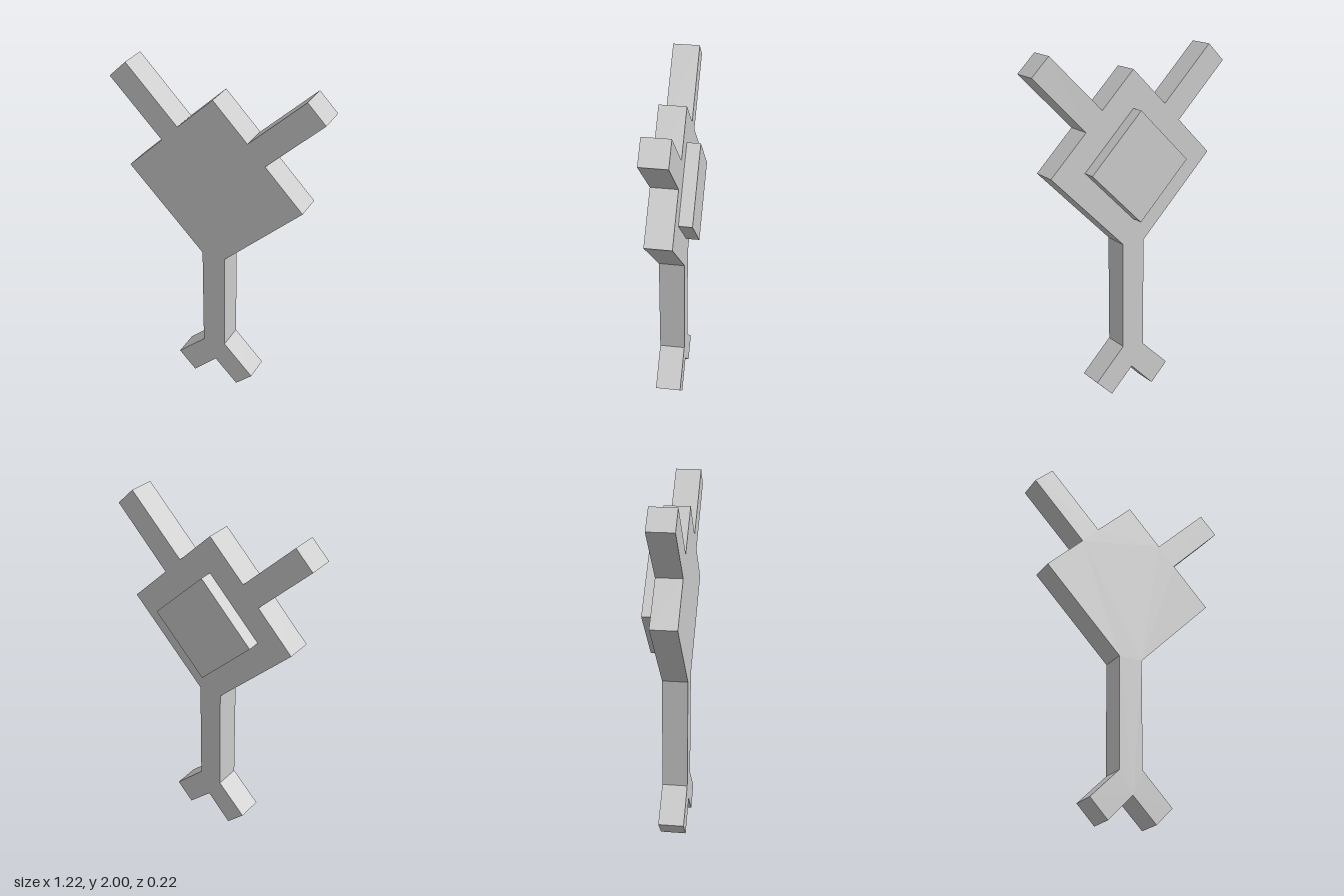
import * as THREE from 'three';

const material = new THREE.MeshStandardMaterial({ color: 0xcccccc, flatShading: true });

// Flat slab cut from an outline, between two depths
function slab(name, points, back, front) {
  const shape = new THREE.Shape(points.map(([x, y]) => new THREE.Vector2(x, y)));
  const geometry = new THREE.ExtrudeGeometry(shape, { depth: front - back, bevelEnabled: false });
  geometry.translate(0, 0, back);
  const mesh = new THREE.Mesh(geometry, material);
  mesh.name = name;
  return mesh;
}

export function createModel() {
  const group = new THREE.Group();
  group.name = 'figure';

  // Outline, counter-clockwise from the notch between the feet
  const leftFoot = [[0.01, 0.15], [0.15, 0.012], [0.25, 0.113], [0.07, 0.293]];
  const leftTorso = [[0.07, 0.92], [0.518, 1.367], [0.3, 1.585]];
  const leftArm = [[0.612, 1.9], [0.51, 2], [0.198, 1.69]];
  const head = [[0, 1.887]];
  const rightArm = [[-0.21, 1.68], [-0.51, 1.98], [-0.612, 1.88], [-0.308, 1.577]];
  const rightTorso = [[-0.518, 1.367], [-0.07, 0.92]];
  const rightFoot = [[-0.07, 0.275], [-0.24, 0.107], [-0.135, 0]];
  group.add(slab('body', [
    ...leftFoot, ...leftTorso, ...leftArm, ...head, ...rightArm, ...rightTorso, ...rightFoot,
  ], -0.037, 0.108));

  // Raised diamond on the back
  const r = 0.311, cy = 1.367;
  group.add(slab('backPlate', [[0, cy - r], [r, cy], [0, cy + r], [-r, cy]], -0.11, -0.037));

  return group;
}
